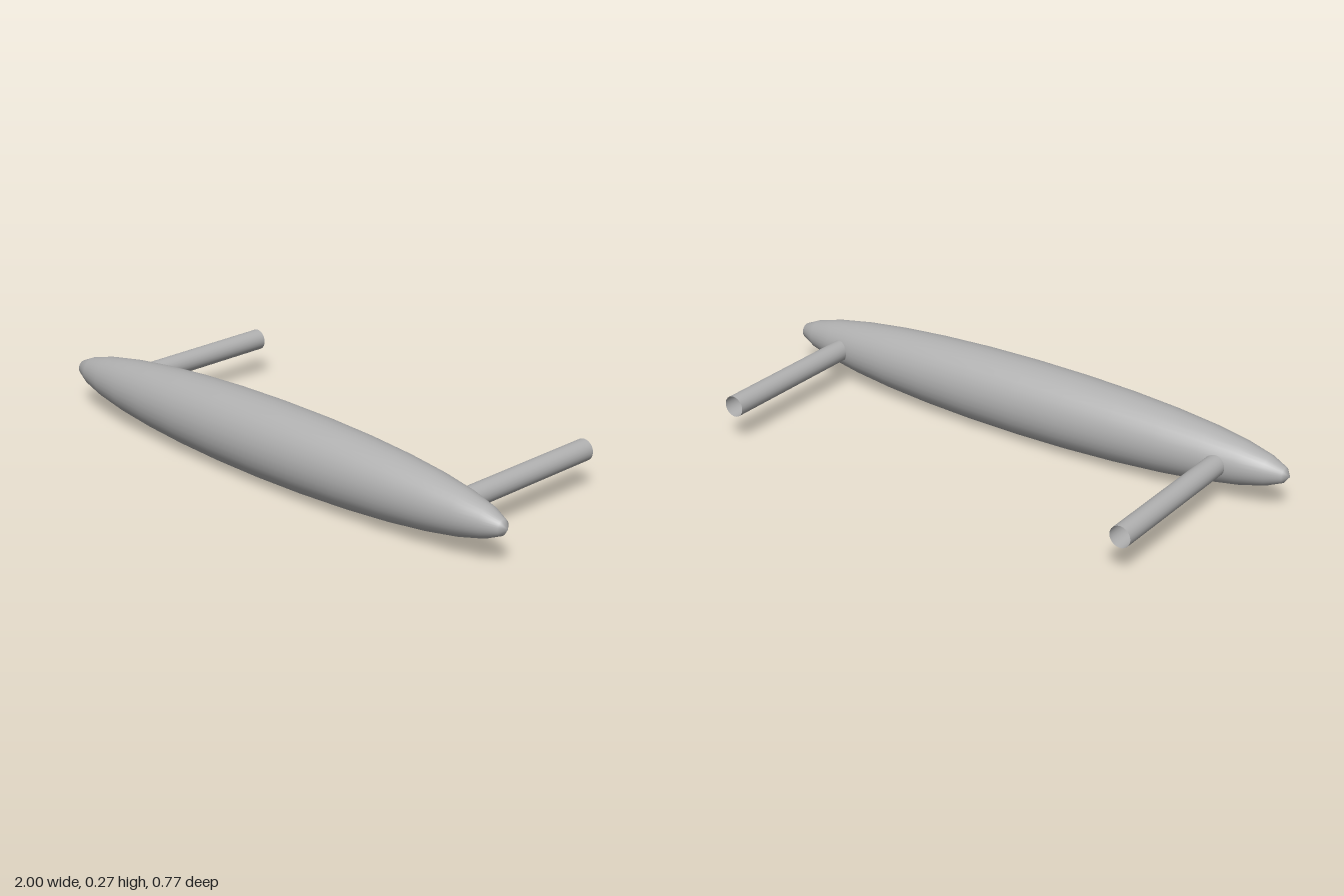
import * as THREE from 'three';

export function createModel() {
  const model = new THREE.Group();
  const metal = new THREE.MeshStandardMaterial({ color: 0xb0b0b0, side: THREE.DoubleSide });
  metal.name = 'grey metal';

  // Long tapered grip, poles along x
  const gripShape = new THREE.SphereGeometry(1, 32, 16);
  gripShape.rotateZ(Math.PI / 2);
  gripShape.scale(1, 0.134, 0.128);
  const grip = new THREE.Mesh(gripShape, metal);
  grip.name = 'grip';
  grip.position.set(0, 0.134, 0.257);
  model.add(grip);

  // Hollow mounting posts, open at the back, sunk into the grip
  const front = 0.23, back = -0.385;
  const postShape = new THREE.CylinderGeometry(0.037, 0.037, front - back, 24, 1, true);
  postShape.rotateX(Math.PI / 2);
  for (const side of [-1, 1]) {
    const post = new THREE.Mesh(postShape, metal);
    post.name = side > 0 ? 'leftPost' : 'rightPost';
    post.position.set(side * 0.767, 0.136, (front + back) / 2);
    post.rotation.x = 0.004;
    model.add(post);
  }
  return model;
}
